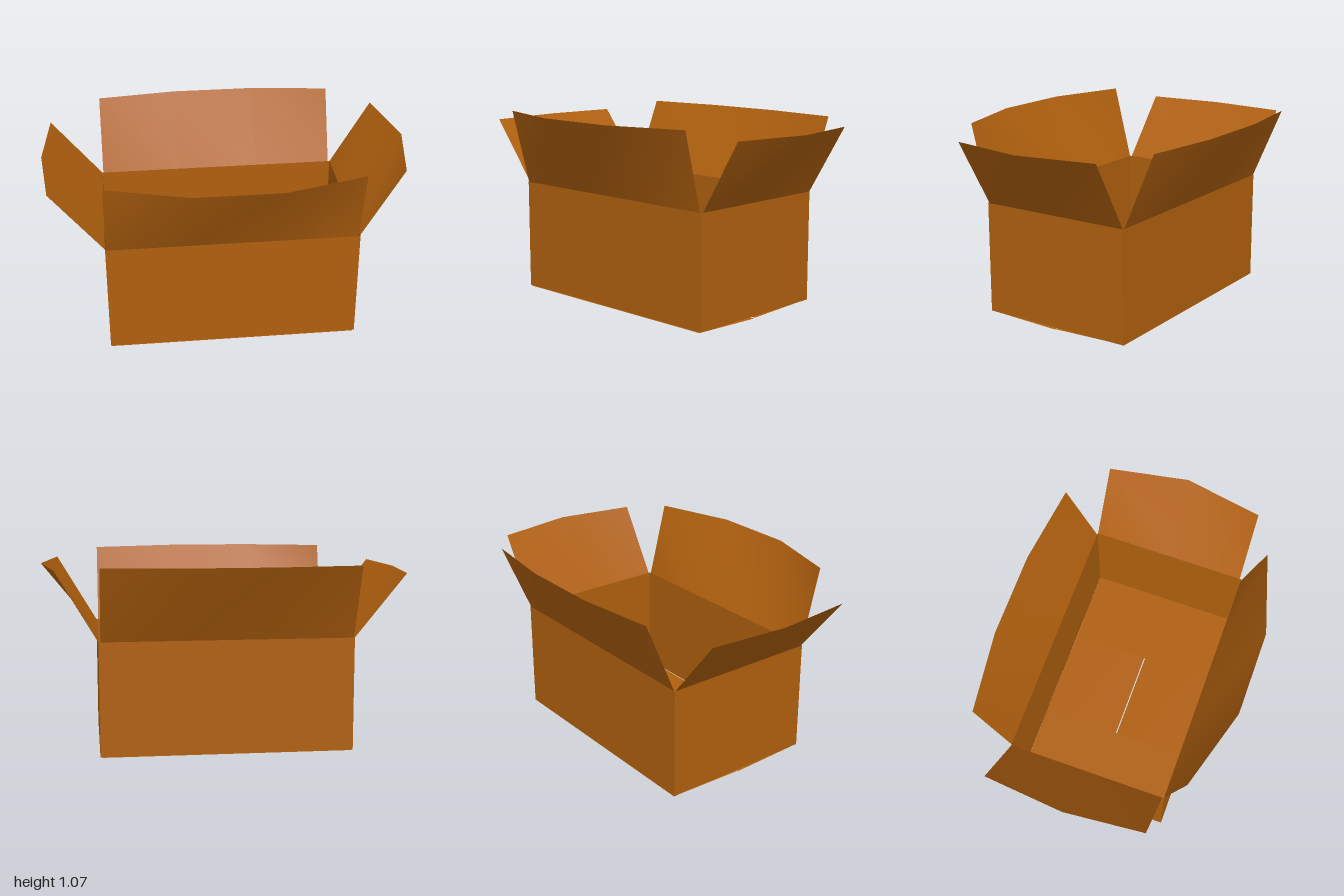
import * as THREE from 'three';

// Ruled cardboard sheet between two matching rows of points
function sheet(name, lower, upper, material) {
  const n = lower.length;
  const index = [];
  for (let i = 0; i < n - 1; i++) {
    index.push(i, i + 1, n + i + 1, i, n + i + 1, n + i);
  }
  const g = new THREE.BufferGeometry();
  g.setAttribute('position', new THREE.Float32BufferAttribute([...lower, ...upper].flat(), 3));
  g.setIndex(index);
  g.computeVertexNormals();
  const mesh = new THREE.Mesh(g, material);
  mesh.name = name;
  return mesh;
}

export function createModel() {
  const box = new THREE.Group();
  box.name = 'openCardboardBox';
  const cardboard = new THREE.MeshStandardMaterial({ color: 0xb0600e, side: THREE.DoubleSide });
  cardboard.name = 'cardboard brown';
  const add = (name, lower, upper) => box.add(sheet(name, lower, upper, cardboard));

  const left = 0.695, right = -0.68, front = 0.435, back = -0.452;
  const base = 0.018, rim = 0.64;

  // Four upright walls
  const corners = [[right, front], [left, front], [left, back], [right, back]];
  ['frontWall', 'leftWall', 'backWall', 'rightWall'].forEach((name, i) => {
    const ends = [corners[i], corners[(i + 1) % 4]];
    add(name, ends.map(([x, z]) => [x, base, z]), ends.map(([x, z]) => [x, rim, z]));
  });

  // Long top flaps, bowed outward in the middle
  const xs = [-0.675, -0.23, 0.24, 0.685];
  const longFlap = (name, hinge, top, endZ, midZ, order) => {
    const row = order.map((i) => xs[i]);
    add(name, row.map((x) => [x, rim, hinge]),
      row.map((x, i) => [x, top, i === 0 || i === 3 ? endZ : midZ]));
  };
  longFlap('frontTopFlap', front, 1.065, 0.545, 0.675, [0, 1, 2, 3]);
  longFlap('backTopFlap', back, 1.045, -0.625, -0.68, [3, 2, 1, 0]);

  // Short top flaps, bowed around one middle crease
  const shortFlap = (name, hinge, top, endX, midX, zs) => {
    add(name, zs.map((z) => [hinge, rim, z]),
      zs.map((z, i) => [i === 1 ? midX : endX, top, z]));
  };
  shortFlap('leftTopFlap', left, 1.02, 0.92, 1.0, [0.425, -0.01, -0.45]);
  shortFlap('rightTopFlap', right, 0.985, -0.96, -1.0, [-0.45, -0.01, 0.425]);

  // Inner bottom flaps, tapering slightly toward the middle
  add('leftInnerBottomFlap', [[left, 0.02, back], [left, 0.02, 0.425]],
    [[0.265, 0.021, -0.43], [0.265, 0.021, 0.422]]);
  add('rightInnerBottomFlap', [[right, 0.02, 0.425], [right, 0.02, back]],
    [[-0.25, 0.021, 0.422], [-0.25, 0.021, -0.43]]);

  // Outer bottom flaps, sagging to the seam along the middle
  add('frontBottomFlap', [[-0.675, 0, 0], [0.685, 0, 0]],
    [[-0.675, 0.014, front], [0.685, 0.014, front]]);
  add('backBottomFlap', [[0.685, 0.003, -0.006], [-0.675, 0.003, -0.006]],
    [[0.685, 0.016, back], [-0.675, 0.016, back]]);

  return box;
}
